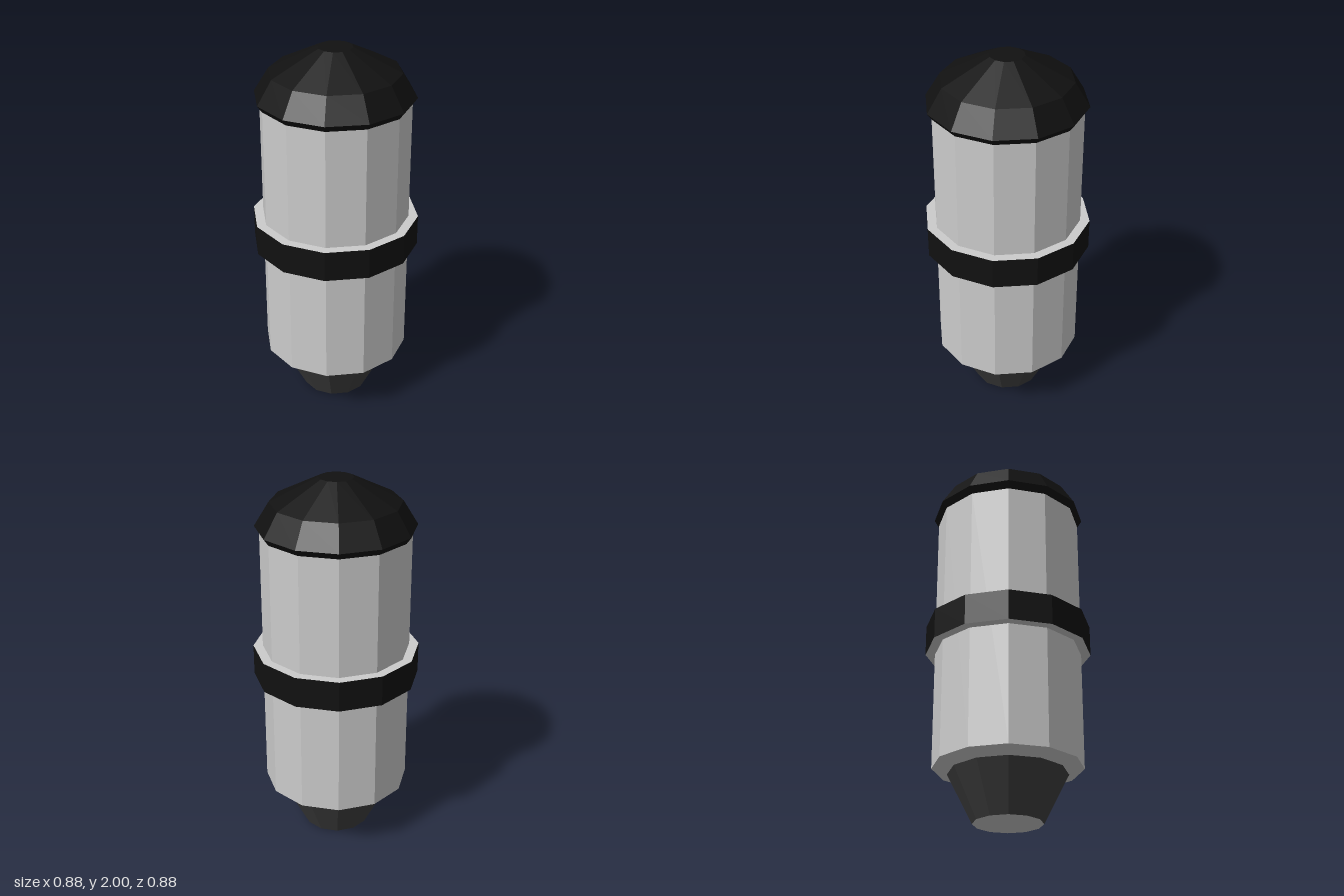
import * as THREE from 'three';

const SIDES = 12;

function material(color) {
  return new THREE.MeshStandardMaterial({ color, flatShading: true, side: THREE.DoubleSide });
}

// Faceted surface of revolution; the profile lists [radius, height] from bottom to top
function turned(name, profile, mat) {
  const points = profile.map(([r, y]) => new THREE.Vector2(r, y));
  const mesh = new THREE.Mesh(new THREE.LatheGeometry(points, SIDES), mat);
  mesh.name = name;
  return mesh;
}

export function createModel() {
  const grey = material(0xcccccc);
  const darkGrey = material(0x404040);
  const black = material(0x111111);
  const model = new THREE.Group();
  model.name = 'capsule';

  // Main barrel with its sloped lower shoulder
  model.add(turned('body', [[0.31, 0.255], [0.39, 0.285], [0.39, 1.715]], grey));

  // Tapered foot and its flat underside
  model.add(turned('taperedBase', [[0.18, 0], [0.31, 0.255]], darkGrey));
  model.add(turned('baseUnderside', [[0, 0], [0.18, 0]], grey));

  // Middle band: black rim with grey upper and lower faces
  const band = new THREE.Group();
  band.name = 'middleBand';
  band.add(
    turned('bandUnderside', [[0.385, 0.918], [0.44, 0.918]], grey),
    turned('bandRim', [[0.44, 0.918], [0.44, 1.082]], black),
    turned('bandTop', [[0.44, 1.082], [0.385, 1.082]], grey)
  );
  model.add(band);

  // Domed cap with a slight overhang
  model.add(turned('cap', [[0.39, 1.715], [0.415, 1.75], [0.338, 1.875], [0.09, 2], [0, 2]], black));

  return model;
}
